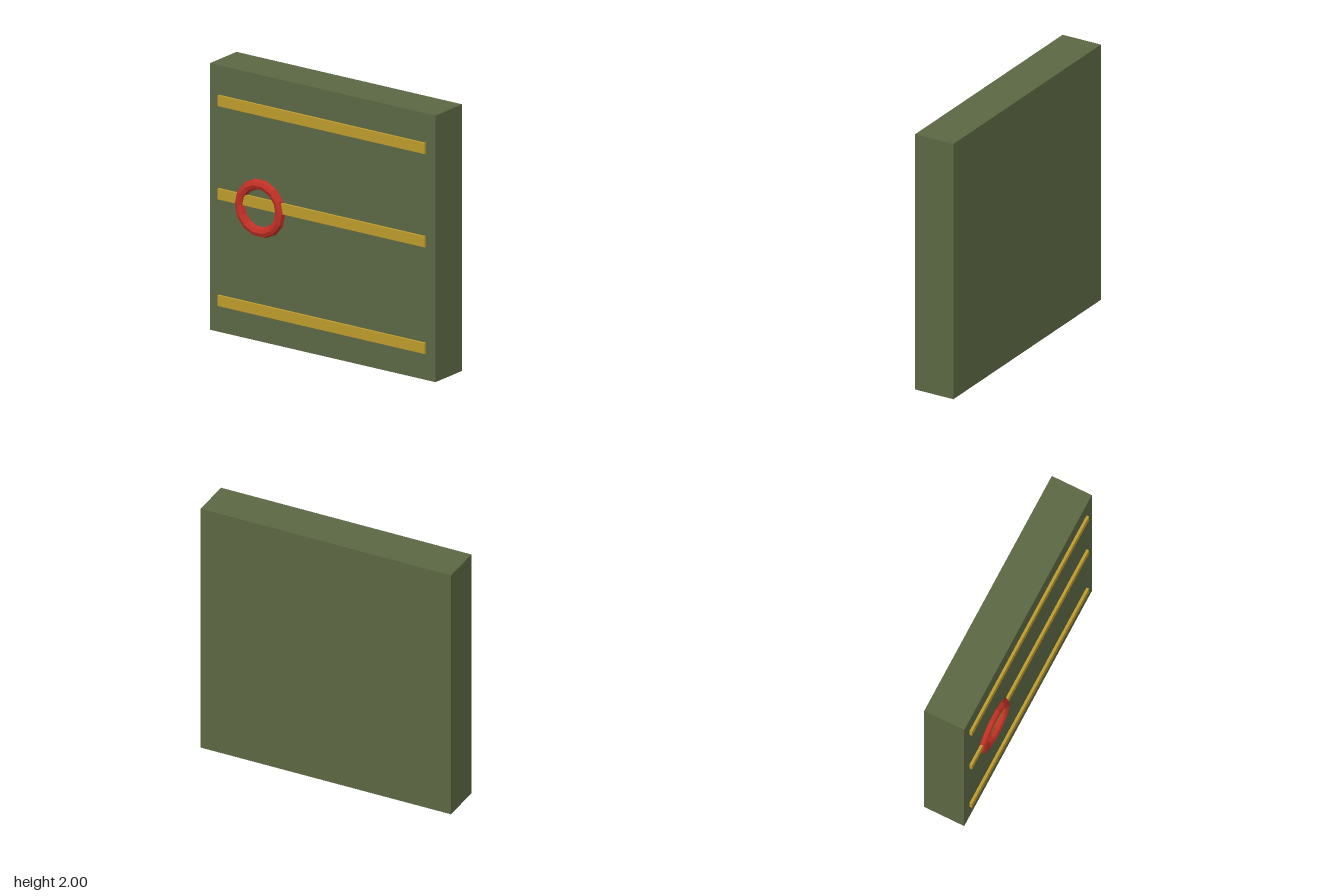
import * as THREE from 'three';

export function createModel() {
  const model = new THREE.Group();
  model.name = 'door';

  const add = (name, geometry, color, x, y, z) => {
    const material = new THREE.MeshStandardMaterial({ color, flatShading: true });
    const mesh = new THREE.Mesh(geometry, material);
    mesh.name = name;
    mesh.position.set(x, y, z);
    model.add(mesh);
  };

  const frontZ = 0.14;

  // Thick slab
  add('doorSlab', new THREE.BoxGeometry(2, 2, 0.32), 0x5b6743, 0, 1, -0.02);

  // Horizontal straps, half sunk into the front face
  const strap = new THREE.BoxGeometry(1.834, 0.08, 0.04);
  [['lowerStrap', 0.24], ['middleStrap', 1.04], ['upperStrap', 1.74]].forEach(([name, y]) =>
    add(name, strap, 0xbd9b2c, 0, y, frontZ));

  // Faceted ring handle, half sunk into the front face
  add('ringHandle', new THREE.TorusGeometry(0.18, 0.04, 8, 14), 0xc03025, -0.55, 1, frontZ);

  return model;
}
